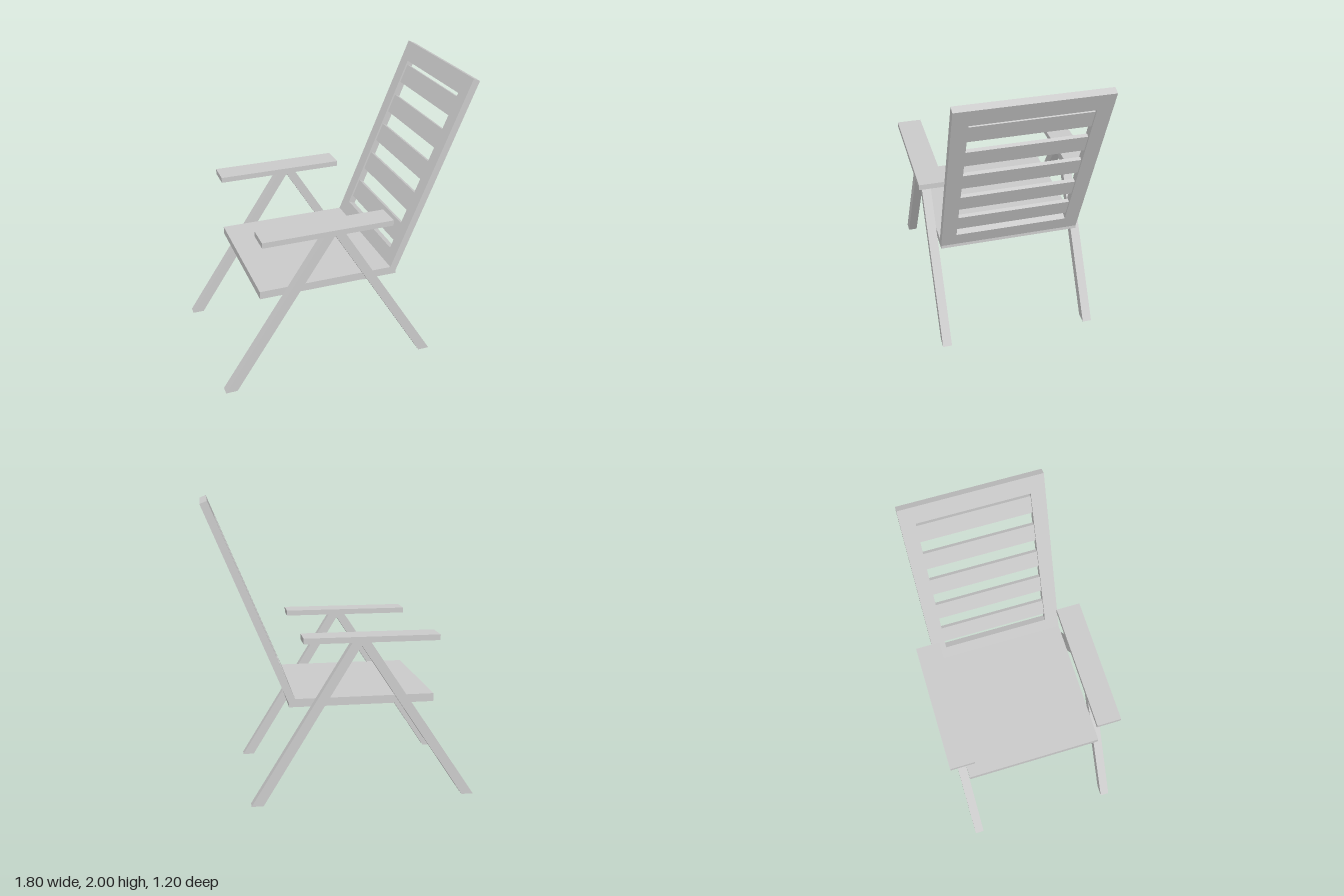
import * as THREE from 'three';

const material = new THREE.MeshStandardMaterial({ color: 0xcccccc, flatShading: true });

function addMesh(parent, name, geometry, x = 0, y = 0, z = 0) {
  const mesh = new THREE.Mesh(geometry, material);
  mesh.name = name;
  mesh.position.set(x, y, z);
  parent.add(mesh);
  return mesh;
}

const outline = (points) => points.map(([x, y]) => new THREE.Vector2(x, y));

export function createModel() {
  const chair = new THREE.Group();
  chair.name = 'reclinedArmchair';

  // Seat panel
  addMesh(chair, 'seat', new THREE.BoxGeometry(0.977, 0.055, 0.97), -0.1315, 0.6825, 0);

  // Crossed A-shaped legs and armrest on each side
  const legShape = new THREE.Shape(outline([
    [-0.9, 0], [-0.82, 0], [-0.115, 1.07], [0.54, 0], [0.62, 0], [-0.06, 1.1], [-0.17, 1.1],
  ]));
  const legGeometry = new THREE.ExtrudeGeometry(legShape, { depth: 0.063, bevelEnabled: false });
  legGeometry.translate(0, 0, -0.0315);
  const armGeometry = new THREE.BoxGeometry(0.897, 0.038, 0.17);
  for (const [side, s] of [['left', -1], ['right', 1]]) {
    addMesh(chair, side + 'Legs', legGeometry, 0, 0, s * 0.5165);
    addMesh(chair, side + 'Armrest', armGeometry, -0.1765, 1.119, s * 0.517);
  }

  // Tilted backrest: local y runs up the back, local x points to the rear
  const backrest = new THREE.Group();
  backrest.name = 'backrest';
  backrest.position.set(0.354, 0.67, 0);
  backrest.rotation.z = -0.393;
  chair.add(backrest);

  // Frame with a rectangular opening
  const frame = new THREE.Shape(outline([[-0.485, 0], [0.485, 0], [0.485, 1.418], [-0.485, 1.418]]));
  frame.holes.push(new THREE.Path(outline([
    [-0.385, 0.124], [-0.385, 1.288], [0.385, 1.288], [0.385, 0.124],
  ])));
  const frameGeometry = new THREE.ExtrudeGeometry(frame, { depth: 0.05, bevelEnabled: false });
  frameGeometry.rotateY(-Math.PI / 2);
  addMesh(backrest, 'backFrame', frameGeometry);

  // Horizontal slats centred in the frame thickness
  const slatGeometry = new THREE.BoxGeometry(0.026, 0.135, 0.77);
  for (let i = 0; i < 5; i++) {
    addMesh(backrest, 'backSlat' + (i + 1), slatGeometry, -0.025, 0.2465 + i * 0.2365, 0);
  }

  return chair;
}
